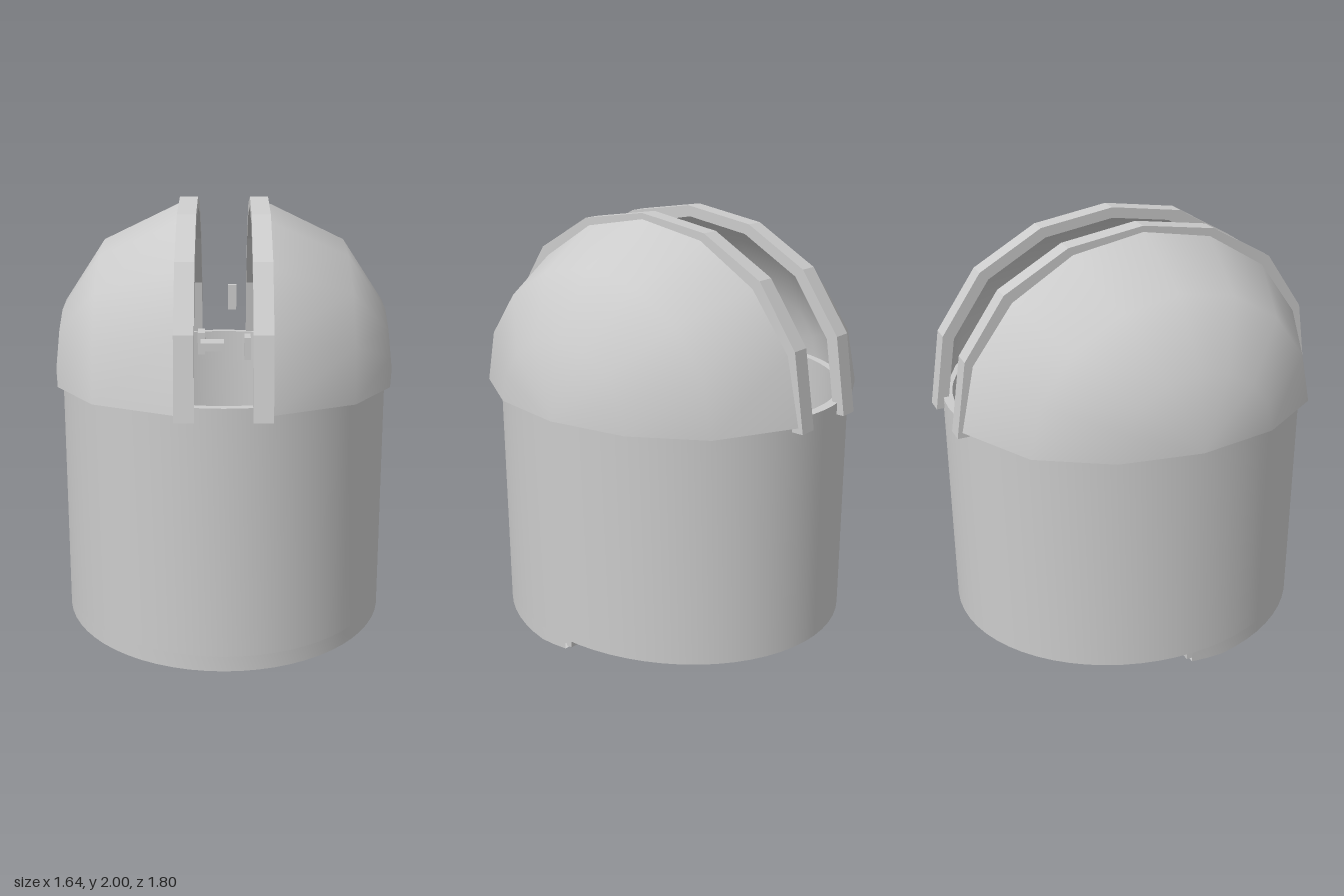
import * as THREE from 'three';
import { toCreasedNormals } from 'three/addons/utils/BufferGeometryUtils.js';

const mat = new THREE.MeshStandardMaterial({ color: 0xcccccc, side: THREE.DoubleSide });
const V = (pts) => pts.map(([x, y]) => new THREE.Vector2(x, y));
const OVAL = 0.775 / 0.875; // the tower is narrower across than deep

export function createModel() {
  const group = new THREE.Group();
  const add = (name, geo, parent = group) => {
    const mesh = new THREE.Mesh(geo, mat);
    mesh.name = name;
    parent.add(mesh);
    return mesh;
  };
  const box = (name, x0, x1, y0, y1, z0, z1) =>
    add(name, new THREE.BoxGeometry(x1 - x0, y1 - y0, z1 - z0))
      .position.set((x0 + x1) / 2, (y0 + y1) / 2, (z0 + z1) / 2);
  const lathe = (pts, n, start = 0, len = Math.PI * 2) => new THREE.LatheGeometry(V(pts), n, start, len);
  const ringWall = (r0, r1, y0, y1) => [[r0, y0], [r1, y0], [r1, y1], [r0, y1], [r0, y0]];

  // Tower: hollow oval wall, with a skirt below the front half
  const wall = lathe(ringWall(0.83, 0.875, 0.08, 1.2), 64);
  add('towerWall', toCreasedNormals(wall.scale(OVAL, 1, 1), 0.6));
  const skirt = lathe(ringWall(0.83, 0.875, 0.01, 0.08), 32, -Math.PI / 2, Math.PI);
  const p = skirt.attributes.position;
  for (let i = 0; i < p.count; i++) {
    if (p.getY(i) < 0.05) p.setY(i, 0.01 + 0.02 * Math.max(0, 1 - p.getZ(i) / 0.17));
  }
  add('towerSkirt', toCreasedNormals(skirt.scale(OVAL, 1, 1), 0.6));

  // Floor with the beam and socket under it
  const floor = new THREE.CylinderGeometry(0.84, 0.84, 0.02, 64).scale(OVAL, 1, 1);
  add('floor', floor).position.y = 0.09;
  box('floorBeam', -0.75, 0.75, 0.03, 0.08, -0.015, 0.015);
  add('floorSocket', toCreasedNormals(lathe(ringWall(0.18, 0.2, 0.02, 0.08), 32), 0.6));

  // Instrument pier
  add('pier', toCreasedNormals(lathe(
    [[0.2, 0.1], [0.2, 0.16], [0.175, 0.16], [0.17, 0.2], [0.12, 0.6], [0, 0.6]], 32), 0.6));

  // Rocks set in the floor: x, y, z, radii
  [
    [-0.1, 0.12, -0.72, 0.1, 0.055, 0.06], [-0.36, 0.1, -0.68, 0.04, 0.035, 0.04],
    [-0.18, 0.1, -0.75, 0.04, 0.035, 0.04], [0.46, 0.06, 0.5, 0.07, 0.06, 0.06],
    [0.68, 0.07, 0.2, 0.04, 0.04, 0.04],
  ].forEach(([x, y, z, a, b, c]) => {
    add('rock', new THREE.SphereGeometry(1, 16, 10).scale(a, b, c)).position.set(x, y, z);
  });

  // Half domes: a shell turned about the sideways axis, (radius, distance from centre)
  const outer = [[0.88, 0.2], [0.69, 0.565], [0.375, 0.757], [0, 0.82]];
  const inner = [[0, 0.79], [0.36, 0.73], [0.665, 0.545], [0.845, 0.2]];
  const shell = lathe([...outer, ...inner, outer[0]], 8, Math.PI, Math.PI);
  shell.rotateZ(-Math.PI / 2).scale(1, 0.915, 1);
  const flip = (pts) => pts.map(([r, a]) => [a, -r]);
  const straight = (pts) => pts.map(([r, a]) => [a, r]);
  const rimShape = new THREE.Shape(V([
    ...straight(outer), ...flip(outer).reverse().slice(1),
    ...flip(inner).reverse(), ...straight(inner).slice(1),
  ]));
  const rim = new THREE.ShapeGeometry(rimShape).rotateX(Math.PI / 2);
  const creased = toCreasedNormals(shell, 1);

  // Arched rib along each edge of the slit
  const arc = [[0.9, 1.145], [0.845, 1.5], [0.655, 1.775], [0.355, 1.945], [0, 2]];
  const arcIn = arc.map(([z, y], i) => [z * 0.94, i ? 1.17 + (y - 1.17) * 0.94 : y]);
  const mirrored = (pts) => [...pts, ...pts.slice(0, -1).reverse().map(([z, y]) => [-z, y])];
  const ribShape = new THREE.Shape(V([...mirrored(arc), ...mirrored(arcIn).reverse()]));
  const rib = new THREE.ExtrudeGeometry(ribShape, { depth: 0.085, bevelEnabled: false });
  rib.rotateY(-Math.PI / 2).translate(0.207, 0, 0);

  for (const side of ['left', 'right']) {
    const half = new THREE.Group();
    half.name = side + 'DomeHalf';
    half.rotation.y = side === 'left' ? 0 : Math.PI;
    add('domeShell', creased, half).position.y = 1.17;
    add('domeRim', rim, half).position.y = 1.17;
    add('slitRib', rib, half);
    group.add(half);
  }

  // Small fittings in the slit
  box('rightBracket', -0.13, -0.095, 1.22, 1.33, -0.22, -0.1);
  box('leftBracket', 0.1, 0.13, 1.22, 1.33, -0.08, 0.03);
  box('bracketArm', -0.115, 0, 1.26, 1.3, -0.1, 0.02);
  box('finder', 0.02, 0.06, 1.45, 1.57, -0.115, -0.08);

  // Desk and stool on the floor
  box('desk', -0.04, 0.07, 0.1, 0.3, 0.3, 0.42);
  box('stool', 0.06, 0.13, 0.1, 0.2, 0.28, 0.35);
  return group;
}
